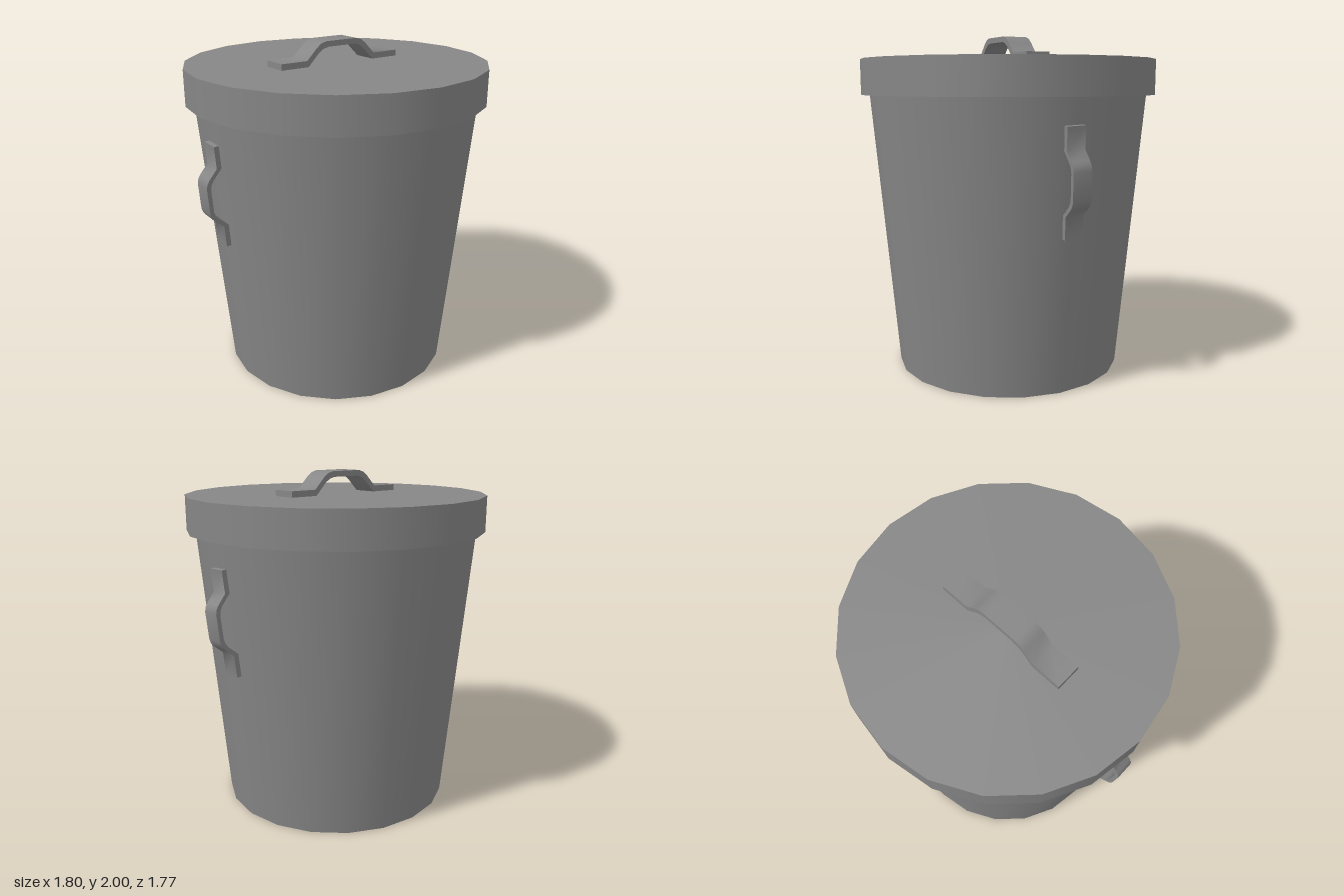
import * as THREE from 'three';
import { toCreasedNormals } from 'three/addons/utils/BufferGeometryUtils.js';

const SIDES = 20;
const LID_TOP = 1.868, LID_BOTTOM = 1.66, LID_RADIUS = 0.884;
const BASE_RADIUS = 0.685, BODY_TOP = 1.85, SLOPE = 0.089;

const darkGrey = new THREE.MeshStandardMaterial({ color: 0x868686 });
const darkGreyThin = new THREE.MeshStandardMaterial({ color: 0x868686, side: THREE.DoubleSide });

// Bent strap handle lying along x, arched in y, centred across z
function handleGeometry(scale) {
  const outer = [[0.105, 0.135], [0.14, 0.125], [0.17, 0.103], [0.235, 0.038], [0.405, 0.038]];
  const inner = [[0.405, 0], [0.23, 0], [0.155, 0.075], [0.125, 0.094], [0.09, 0.103]];
  const half = [...outer, ...inner]; // over the arch, round the foot and back
  const mirrored = half.map(([x, y]) => [-x, y]).reverse();
  const points = [...half, ...mirrored].map(([x, y]) => new THREE.Vector2(x, y));
  const depth = 0.147;
  const geometry = new THREE.ExtrudeGeometry(new THREE.Shape(points), { depth, bevelEnabled: false });
  geometry.translate(0, 0, -depth / 2);
  geometry.scale(scale, scale, scale);
  return toCreasedNormals(geometry, 0.85);
}

function addMesh(parent, name, geometry, material) {
  const mesh = new THREE.Mesh(geometry, material);
  mesh.name = name;
  parent.add(mesh);
  return mesh;
}

export function createModel() {
  const bin = new THREE.Group();
  bin.name = 'bin';

  // Tapered body
  const topRadius = BASE_RADIUS + SLOPE * BODY_TOP;
  const body = addMesh(bin, 'body',
    new THREE.CylinderGeometry(topRadius, BASE_RADIUS, BODY_TOP, SIDES), darkGrey);
  body.position.y = BODY_TOP / 2;

  // Lid: a flat top with a rim hanging over the body
  const lid = new THREE.Group();
  lid.name = 'lid';
  bin.add(lid);
  const rimHeight = LID_TOP - LID_BOTTOM;
  const rim = addMesh(lid, 'lidRim',
    new THREE.CylinderGeometry(LID_RADIUS, LID_RADIUS, rimHeight, SIDES, 1, true), darkGreyThin);
  rim.position.y = LID_BOTTOM + rimHeight / 2;
  const top = addMesh(lid, 'lidTop', new THREE.CircleGeometry(LID_RADIUS, SIDES), darkGreyThin);
  top.rotation.x = -Math.PI / 2;
  top.position.y = LID_TOP;

  const lidHandle = addMesh(lid, 'lidHandle', handleGeometry(1), darkGrey);
  lidHandle.position.set(-0.013, LID_TOP - 0.003, -0.002);

  // Smaller side handles, following the taper with a slight twist
  const handleY = 1.213;
  const sideGeometry = handleGeometry(0.75);
  for (const side of [1, -1]) {
    const handle = addMesh(bin, side > 0 ? 'leftHandle' : 'rightHandle', sideGeometry, darkGrey);
    handle.position.set(side * (BASE_RADIUS + SLOPE * handleY), handleY, -0.001);
    handle.rotation.set(0, side * 0.042, -side * (Math.PI / 2 + Math.atan(SLOPE)), 'ZYX');
  }
  return bin;
}
